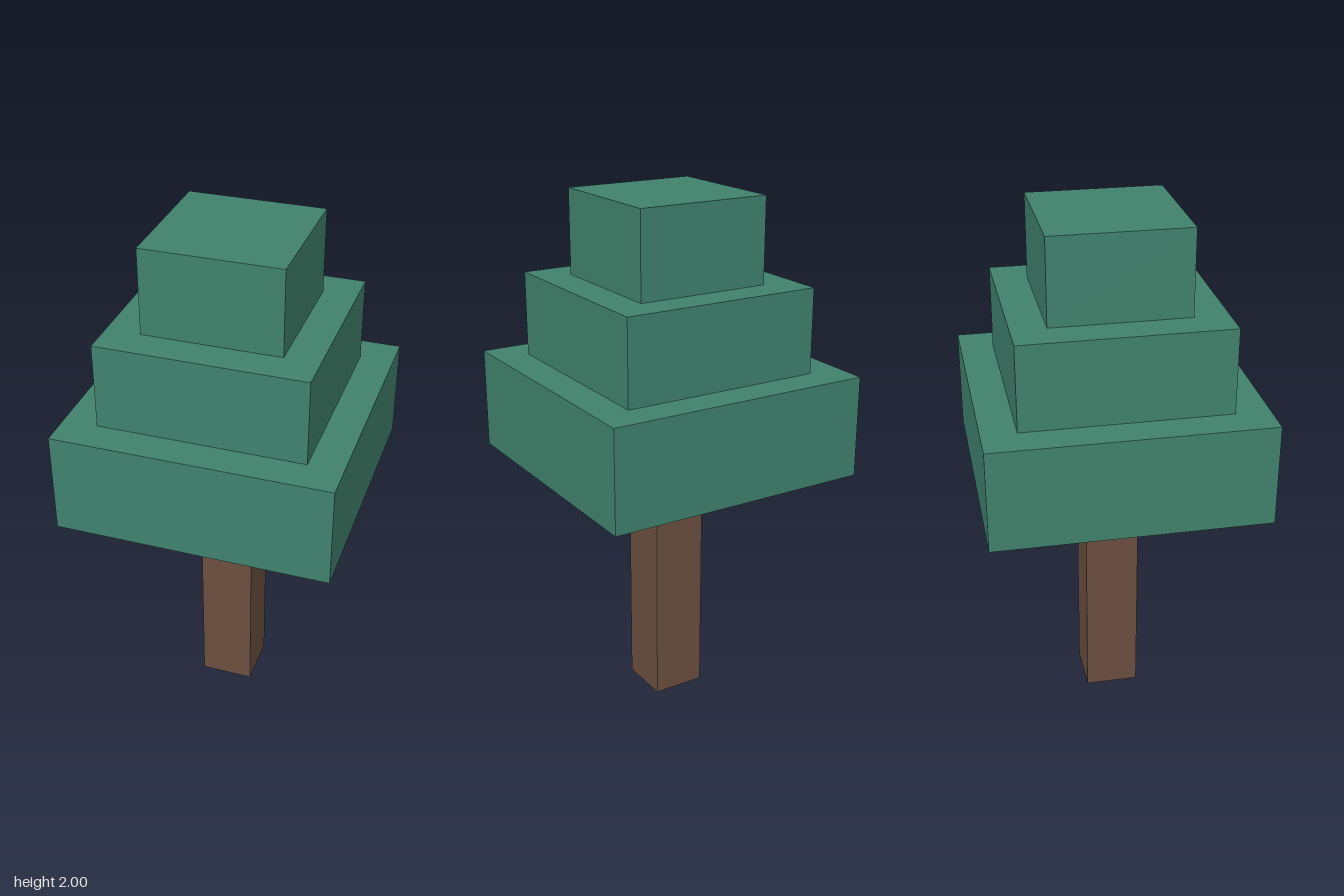
import * as THREE from 'three';

export function createModel() {
  const tree = new THREE.Group();
  tree.name = 'tree';

  const bark = new THREE.MeshStandardMaterial({ color: 0x6b5040 });
  const leaves = new THREE.MeshStandardMaterial({ color: 0x40826d });

  // Square block standing on height y; returns the height of its top
  const addBlock = (name, width, height, y, material) => {
    const block = new THREE.Mesh(new THREE.BoxGeometry(width, height, width), material);
    block.name = name;
    block.position.y = y + height / 2;
    tree.add(block);
    return y + height;
  };

  // Trunk, then three shrinking foliage tiers stacked on it
  let y = addBlock('trunk', 0.206, 0.968, 0, bark);
  const tiers = [
    ['lowerFoliage', 1.032, 0.387],
    ['middleFoliage', 0.774, 0.3225],
    ['upperFoliage', 0.516, 0.3225],
  ];
  for (const [name, width, height] of tiers) y = addBlock(name, width, height, y, leaves);

  return tree;
}
